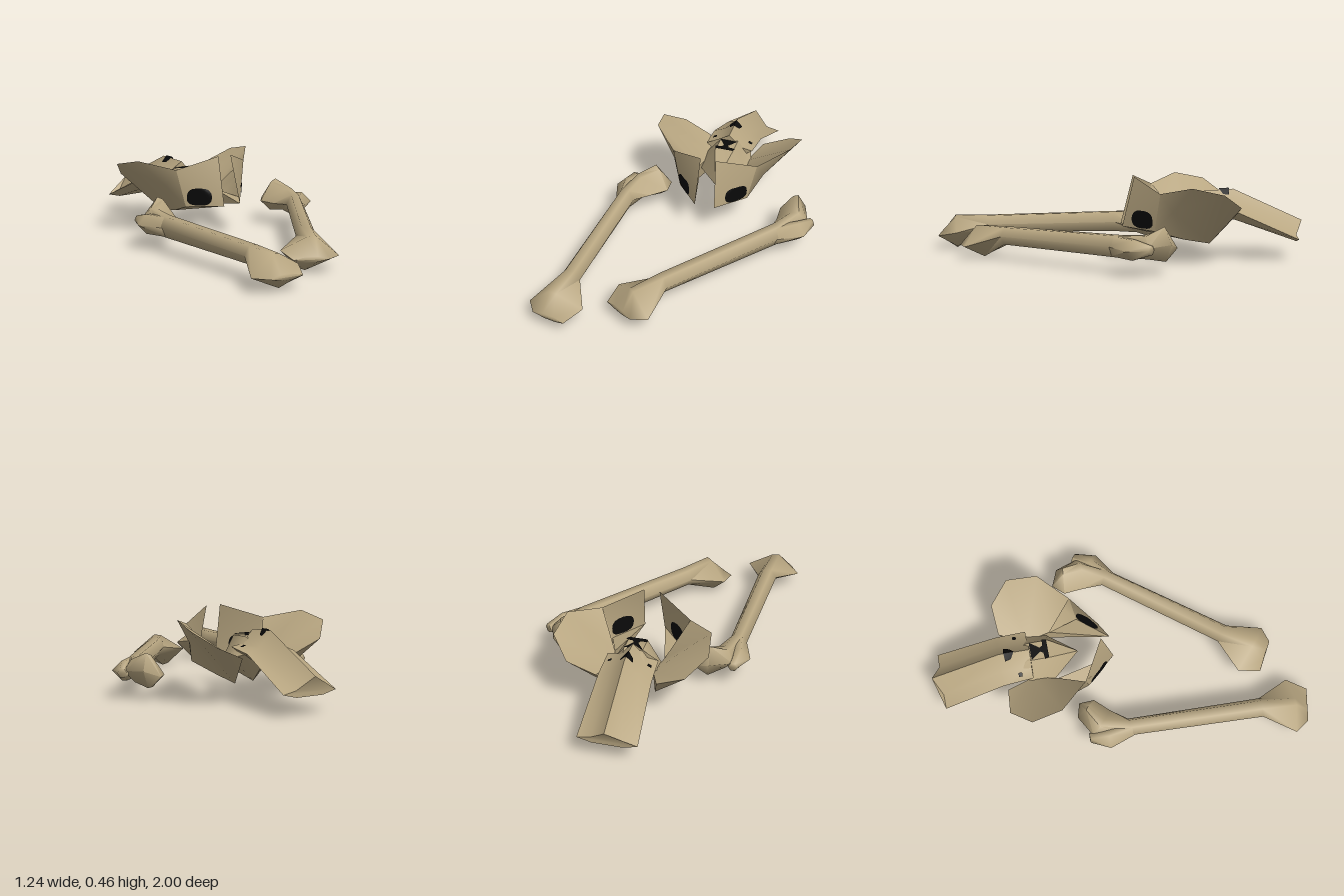
import * as THREE from 'three';
import { toCreasedNormals } from 'three/addons/utils/BufferGeometryUtils.js';

const bone = new THREE.MeshStandardMaterial({ color: 0xb8a681, side: THREE.DoubleSide });
bone.name = 'bone';
const hollow = new THREE.MeshStandardMaterial({ color: 0x0a0a0a, side: THREE.DoubleSide });
hollow.name = 'dark hollow';

const CX = 0.0225; // centre line of the pelvis

// Triangles from corner points, with creased smooth normals
function surface(points, faces, crease) {
  const flat = [];
  for (const f of faces) {
    const [a, b, c] = f.map((i) => new THREE.Vector3(...points[i]));
    const area = b.clone().sub(a).cross(c.clone().sub(a)).length();
    if (area > 1e-7) for (const v of [a, b, c]) flat.push(v.x, v.y, v.z);
  }
  const g = new THREE.BufferGeometry();
  g.setAttribute('position', new THREE.Float32BufferAttribute(flat, 3));
  return toCreasedNormals(g, crease);
}

// Closed solid skinned over equal-sized rings; turned outward by its volume
function loft(rings, crease) {
  const n = rings[0].length;
  const points = rings.flat();
  const faces = [];
  for (let r = 0; r < rings.length - 1; r++) {
    for (let i = 0; i < n; i++) {
      const a = r * n + i, b = r * n + (i + 1) % n;
      faces.push([a, b, b + n], [a, b + n, a + n]);
    }
  }
  const last = (rings.length - 1) * n;
  for (let i = 1; i < n - 1; i++) {
    faces.push([0, i + 1, i], [last, last + i, last + i + 1]);
  }
  let volume = 0;
  for (const f of faces) {
    const [a, b, c] = f.map((i) => new THREE.Vector3(...points[i]));
    volume += a.dot(b.cross(c));
  }
  if (volume < 0) faces.forEach((f) => f.reverse());
  return surface(points, faces, crease);
}

function add(parent, name, geometry, material) {
  const mesh = new THREE.Mesh(geometry, material);
  mesh.name = name;
  parent.add(mesh);
}

// Six-sided upright ring; flat is the share of the width kept level at top and bottom
const shaftRing = (x, z, w, low, high, flat = 0.45) => {
  const mid = (low + high) / 2;
  return [[x - w, mid, z], [x - w * flat, high, z], [x + w * flat, high, z],
    [x + w, mid, z], [x + w * flat, low, z], [x - w * flat, low, z]];
};

// Thigh bone lying along z; mirror = -1 gives the opposite one
function createFemur(name, mirror) {
  const group = new THREE.Group();
  group.name = name;
  const flip = (rings) => rings.map((r) => r.map(([x, y, z]) => [x * mirror, y, z]));
  const body = [
    // knee end
    [[-0.57, 0.075, 0.965], [-0.51, 0.09, 0.975], [-0.45, 0.09, 0.985],
      [-0.39, 0.075, 1], [-0.44, 0.06, 0.985], [-0.5, 0.06, 0.975]],
    [[-0.62, 0.075, 0.89], [-0.5, 0.18, 0.905], [-0.46, 0.175, 0.905],
      [-0.325, 0.1, 0.895], [-0.42, 0.01, 0.895], [-0.45, 0, 0.895]],
    // shaft
    shaftRing(-0.463, 0.72, 0.053, 0.087, 0.18),
    shaftRing(-0.435, 0, 0.047, 0.087, 0.198),
    // neck and ball
    [[-0.45, 0.15, -0.2], [-0.42, 0.205, -0.16], [-0.39, 0.205, -0.13],
      [-0.32, 0.13, -0.085], [-0.37, 0.085, -0.13], [-0.4, 0.085, -0.16]],
    [[-0.335, 0.16, -0.265], [-0.33, 0.25, -0.217], [-0.305, 0.235, -0.2],
      [-0.245, 0.13, -0.16], [-0.3, 0.07, -0.2], [-0.32, 0.067, -0.22]],
    Array(6).fill([-0.248, 0.13, -0.242]),
  ];
  add(group, 'femurBody', loft(flip(body), 1.35), bone);
  const knob = [
    shaftRing(-0.436, 0.03, 0.044, 0.09, 0.194),
    shaftRing(-0.465, -0.12, 0.065, 0.085, 0.19, 0.2),
    shaftRing(-0.455, -0.222, 0.026, 0.12, 0.165),
  ];
  add(group, 'hipKnob', loft(flip(knob), 1.35), bone);
  return group;
}

// Rounded-square patch following the folded front plate
function openingPatch(offset) {
  const g = new THREE.RingGeometry(0, 1, 24, 5);
  const p = g.attributes.position;
  const bulge = (v) => Math.sign(v) * Math.abs(v) ** 0.7;
  for (let i = 0; i < p.count; i++) {
    const u = 0.15 + 0.046 * bulge(p.getX(i));
    const y = 0.238 + 0.048 * bulge(p.getY(i));
    const lower = -1.134 * (u - 0.055) + 0.127 * (y - 0.19);
    const upper = -0.705 * (u - 0.055) - 0.28 * (y - 0.19);
    p.setXYZ(i, u, y, Math.min(lower, upper) - 0.01 + offset);
  }
  g.computeVertexNormals();
  return g;
}

// One hip bone: flared wing, front plate and lower strut
function createHip(name, side) {
  const group = new THREE.Group();
  group.name = name;
  const pts = [
    [0.042, 0.455, -0.075], [0.055, 0.19, -0.01], [0.195, 0.18, -0.17], // 0-2 front plate
    [0.24, 0.385, -0.195], [0.385, 0.43, -0.345], [0.408, 0.395, -0.51], // 3-5 rim
    [0.31, 0.315, -0.615], [0.16, 0.25, -0.605], // 6-7 rear rim
    [0.12, 0.1, -0.475], [0.14, 0.125, -0.34], // 8-9 lower edge
    [0.26, 0.29, -0.26], // 10 outer fold
    [0.105, 0.22, -0.46], [0.135, 0.215, -0.33], // 11-12 inner edge of the basin
  ].map(([x, y, z]) => [x * side, y, z]);
  const orient = (faces) => (side > 0 ? faces : faces.map((f) => [...f].reverse()));
  const outer = [[3, 10, 4], [2, 10, 3], [10, 5, 4], [10, 8, 5], [10, 9, 8], [2, 9, 10], [5, 8, 6], [6, 8, 7]];
  const basin = [[3, 4, 12], [4, 11, 12], [4, 5, 11], [5, 6, 11], [6, 7, 11]];
  const plate = [[1, 2, 3], [1, 3, 0]];
  const strut = [[1, 9, 2], [1, 2, 12], [1, 12, 9], [12, 11, 8], [12, 8, 9], [11, 7, 8]];
  add(group, 'hipWingOuter', surface(pts, orient(outer), 0.9), bone);
  add(group, 'hipWingBasin', surface(pts, orient(basin), 1.2), bone);
  add(group, 'pubicPlate', surface(pts, orient(plate), 0.9), bone);
  add(group, 'lowerStrut', surface(pts, orient(strut), 0.6), bone);
  // dark opening, on both faces of the front plate
  const opening = new THREE.Group();
  opening.name = 'hipOpening';
  opening.scale.x = side;
  add(opening, 'openingFront', openingPatch(0.005), hollow);
  add(opening, 'openingBack', openingPatch(-0.005), hollow);
  group.add(opening);
  group.position.x = CX;
  return group;
}

// Lower spine with side flanges, and the wedge between the hips
function createSpine() {
  const group = new THREE.Group();
  group.name = 'spine';
  const section = (z, tip, w, flange, inner, ridge, low) => [
    [-w, flange, z], [-w * 0.52, inner, z], [0, ridge, tip], [w * 0.52, inner, z],
    [w, flange, z], [w * 0.5, low, z], [-w * 0.5, low, z]];
  add(group, 'lumbarSpine', loft([
    section(-0.955, -1, 0.157, 0.12, 0.135, 0.205, 0.1),
    section(-0.62, -0.62, 0.14, 0.27, 0.3, 0.38, 0.22),
    section(-0.46, -0.455, 0.135, 0.29, 0.3, 0.37, 0.24),
  ], 0.9), bone);

  const wedge = (z, w, top, mid, low) => [
    [-w, mid, z], [-w * 0.38, top, z], [w * 0.38, top, z], [w, mid, z], [0, low, z]];
  add(group, 'sacrum', loft([
    wedge(-0.55, 0.1, 0.3, 0.26, 0.2),
    wedge(-0.46, 0.13, 0.335, 0.23, 0.1),
    wedge(-0.35, 0.13, 0.33, 0.19, 0.12),
    wedge(-0.2, 0.004, 0.215, 0.21, 0.205),
  ], 0.7), bone);

  // dark hollows on the ridge, beside it and in front of it
  const ridge = [[0, 0.384, -0.54], [0, 0.386, -0.595], [-0.036, 0.352, -0.592],
    [-0.028, 0.355, -0.56], [0.036, 0.352, -0.592], [0.028, 0.355, -0.56]];
  add(group, 'ridgeHollow', surface(ridge,
    [[0, 1, 2], [0, 2, 3], [0, 4, 1], [0, 5, 4]], 0.9), hollow);
  for (const s of [-1, 1]) {
    const dot = [[0.095, 0.303, -0.535], [0.115, 0.294, -0.535], [0.115, 0.294, -0.515], [0.095, 0.303, -0.515]]
      .map(([x, y, z]) => [x * s, y, z]);
    add(group, 'sideHollow', surface(dot, [[0, 2, 1], [0, 3, 2]], 0.9), hollow);
  }
  const y = 0.339;
  const gap = [[-0.05, y, -0.452], [0.05, y, -0.452], [0.012, y, -0.4], [-0.012, y, -0.4],
    [0.02, y, -0.385], [-0.02, y, -0.385], [0.056, y, -0.38], [-0.056, y, -0.38],
    [0.05, y, -0.358], [-0.05, y, -0.358]];
  add(group, 'sacrumHollow', surface(gap,
    [[0, 2, 1], [0, 3, 2], [3, 5, 2], [5, 4, 2], [5, 9, 4], [9, 8, 4], [4, 8, 6], [7, 9, 5]], 0.9), hollow);
  group.position.x = CX;
  return group;
}

export function createModel() {
  const model = new THREE.Group();
  model.name = 'boneRemains';
  model.add(createHip('leftHip', 1), createHip('rightHip', -1), createSpine());
  model.add(createFemur('rightFemur', 1));
  const leftFemur = createFemur('leftFemur', -1);
  leftFemur.rotation.y = -0.705;
  leftFemur.position.set(0.11, 0, -0.24);
  model.add(leftFemur);
  return model;
}
